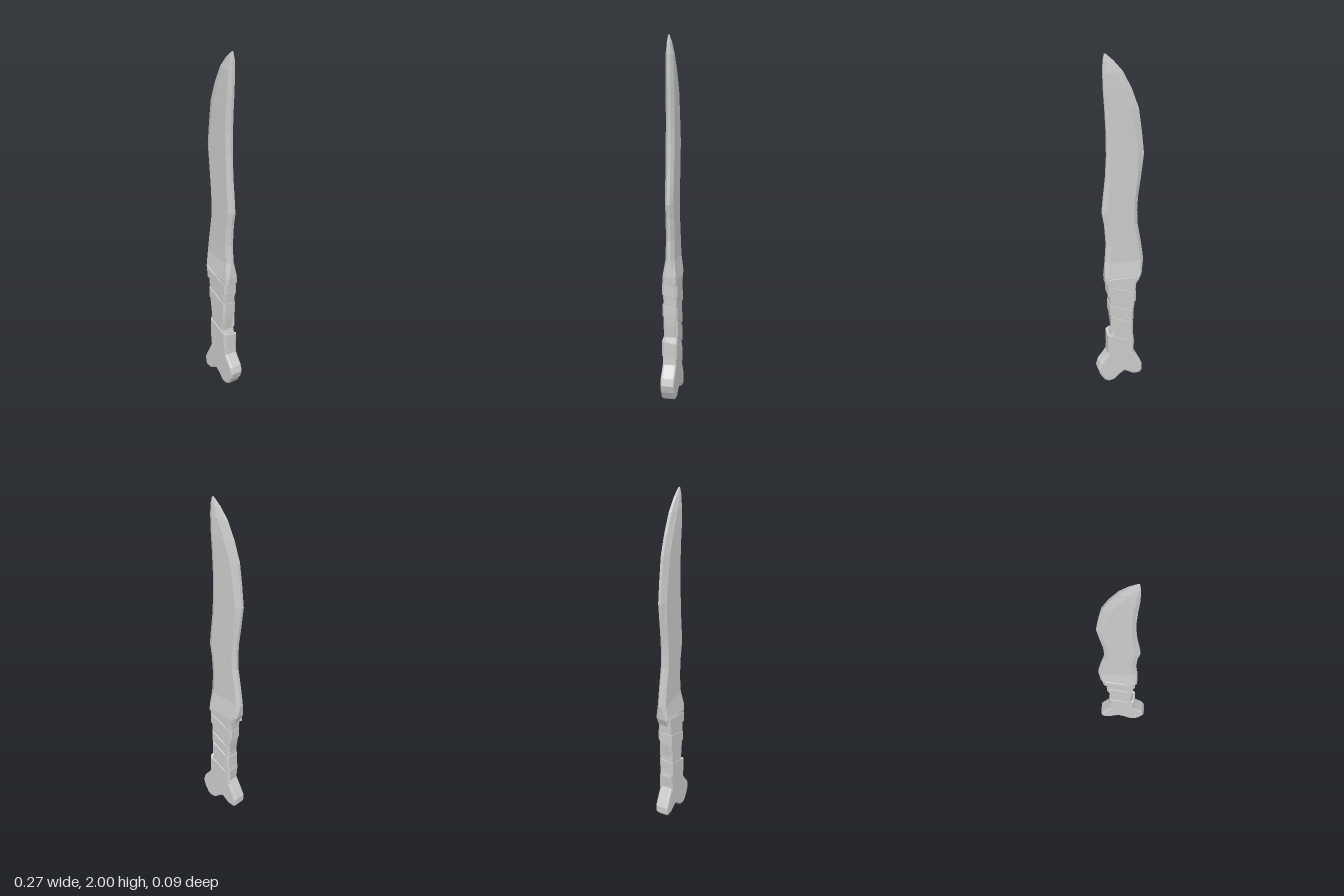
import * as THREE from 'three';

const material = new THREE.MeshStandardMaterial({ color: 0xcccccc, flatShading: true });

// Skin a list of equal-length cross-section rings and close both ends.
function loft(rings) {
  const pos = [];
  const tri = (...pts) => pts.forEach(p => pos.push(...p));
  const n = rings[0].length;
  for (let r = 0; r < rings.length - 1; r++) {
    const a = rings[r], b = rings[r + 1];
    for (let i = 0; i < n; i++) {
      const j = (i + 1) % n;
      tri(a[i], a[j], b[j]);
      tri(a[i], b[j], b[i]);
    }
  }
  const first = rings[0], last = rings[rings.length - 1];
  for (let i = 1; i < n - 1; i++) {
    tri(first[0], first[i + 1], first[i]);
    tri(last[0], last[i], last[i + 1]);
  }
  const geo = new THREE.BufferGeometry();
  geo.setAttribute('position', new THREE.Float32BufferAttribute(pos, 3));
  geo.computeVertexNormals();
  return geo;
}

function addMesh(group, name, geometry) {
  const mesh = new THREE.Mesh(geometry, material);
  mesh.name = name;
  group.add(mesh);
}

// Grip sides from top to bottom: [y, left x, right x]
const GRIP = [
  [0.70, -0.115, 0.08], [0.64, -0.092, 0.07], [0.58, -0.088, 0.062], [0.50, -0.082, 0.058],
  [0.42, -0.07, 0.054], [0.35, -0.07, 0.046], [0.28, -0.08, 0.07], [0.20, -0.072, 0.075],
];

function gripAt(y) {
  let i = 0;
  while (i < GRIP.length - 2 && y < GRIP[i + 1][0]) i++;
  const [a, b] = [GRIP[i], GRIP[i + 1]];
  const t = THREE.MathUtils.clamp((a[0] - y) / (a[0] - b[0]), 0, 1);
  return [1, 2].map(k => THREE.MathUtils.lerp(a[k], b[k], t));
}

// Curved blade: [y, left x, right x, face half thickness, edge half thickness, left bevel, right bevel]
function bladeGeometry() {
  const sections = [
    [0.66, -0.105, 0.083, 0.038, 0.030, 0.010, 0.010],
    [0.70, -0.125, 0.086, 0.037, 0.022, 0.012, 0.012],
    [0.79, -0.137, 0.082, 0.025, 0.008, 0.020, 0.026],
    [0.90, -0.122, 0.075, 0.024, 0.008, 0.020, 0.028],
    [1.02, -0.102, 0.083, 0.024, 0.008, 0.020, 0.028],
    [1.10, -0.100, 0.097, 0.024, 0.008, 0.020, 0.028],
    [1.18, -0.104, 0.090, 0.024, 0.008, 0.020, 0.025],
    [1.30, -0.120, 0.077, 0.024, 0.008, 0.024, 0.022],
    [1.43, -0.135, 0.070, 0.024, 0.008, 0.034, 0.020],
    [1.56, -0.122, 0.071, 0.024, 0.008, 0.038, 0.024],
    [1.69, -0.105, 0.077, 0.024, 0.008, 0.042, 0.026],
    [1.80, -0.068, 0.084, 0.023, 0.008, 0.045, 0.022],
    [1.90, -0.020, 0.087, 0.020, 0.008, 0.045, 0.020],
    [1.96, 0.028, 0.085, 0.012, 0.007, 0.025, 0.012],
    [2.00, 0.070, 0.079, 0.004, 0.003, 0.003, 0.003],
  ];
  return loft(sections.map(([y, l, r, t, e, bl, br]) => [
    [l, y, e], [l + bl, y, t], [r - br, y, t], [r, y, e],
    [r, y, -e], [r - br, y, -t], [l + bl, y, -t], [l, y, -e],
  ]));
}

// Bone handle: grip outline plus a two-lobed knob
function handleGeometry() {
  const knob = [
    [-0.105, 0.14], [-0.13, 0.09], [-0.13, 0.05], [-0.115, 0.03], [-0.075, 0.03], [-0.025, 0.06],
    [0.005, 0.04], [0.035, 0.01], [0.07, 0.002], [0.095, 0.015], [0.12, 0.055],
    [0.133, 0.095], [0.122, 0.135], [0.095, 0.17],
  ];
  const outline = [
    ...GRIP.map(([y, l]) => [l, y]), ...knob,
    ...GRIP.map(([y, , r]) => [r, y]).reverse(),
  ];
  const shape = new THREE.Shape(outline.map(p => new THREE.Vector2(...p)));
  const geo = new THREE.ExtrudeGeometry(shape, {
    depth: 0.054, bevelThickness: 0.012, bevelSize: 0.012, bevelOffset: -0.012, bevelSegments: 2,
  });
  return geo.translate(0, 0, -0.027);
}

// Flat strip wound downwards around the grip; side 0 starts at front left, side 2 at back right
function wrapGeometry(top, halfTurns, startSide, width) {
  const frontDrop = 0.05, sideDrop = 0.012, z = 0.043, cut = 0.012;
  const rings = [];
  let y = top;
  const addRing = (onFace, right, front) => {
    const [l, r] = gripAt(y);
    const out = 0.005;
    const sx = right ? 1 : -1, sz = front ? 1 : -1;
    const edge = right ? r + out : l - out;
    const x = onFace ? edge - sx * cut : edge;
    const zz = sz * (onFace ? z : z - cut);
    const inX = x - sx * 0.012, inZ = zz - sz * 0.012;
    const hi = y + width / 2, lo = y - width / 2;
    rings.push([[x, hi, zz], [x, lo, zz], [inX, lo, inZ], [inX, hi, inZ]]);
  };
  for (let h = 0; h < halfTurns; h++) {
    const front = (h + startSide / 2) % 2 === 0;
    addRing(false, !front, front);
    addRing(true, !front, front);
    y -= frontDrop;
    addRing(true, front, front);
    addRing(false, front, front);
    y -= sideDrop;
  }
  return loft(rings);
}

export function createModel() {
  const group = new THREE.Group();
  group.name = 'boneKnife';
  addMesh(group, 'blade', bladeGeometry());
  addMesh(group, 'boneHandle', handleGeometry());
  addMesh(group, 'upperWrap', wrapGeometry(0.675, 4, 0, 0.06));
  addMesh(group, 'lowerWrap', wrapGeometry(0.40, 3, 2, 0.085));
  return group;
}
